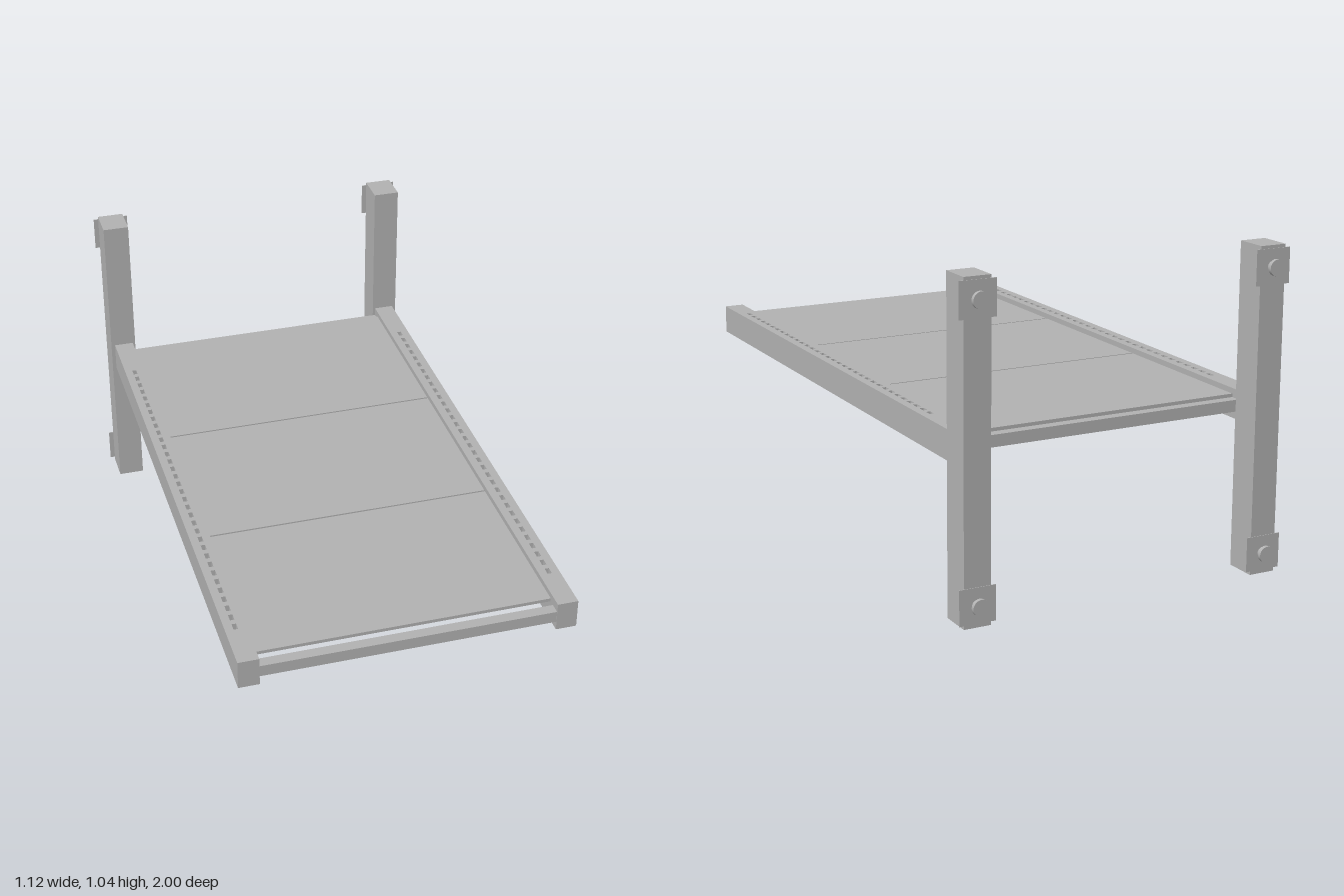
import * as THREE from 'three';

const grey = new THREE.MeshStandardMaterial({ color: 0xb2b2b2 });
grey.name = 'grey metal';

function add(parent, name, geometry) {
  const mesh = new THREE.Mesh(geometry, grey);
  mesh.name = name;
  parent.add(mesh);
  return mesh;
}

// Box given by its limits on each axis
function box(parent, name, x0, x1, y0, y1, z0, z1) {
  const mesh = add(parent, name, new THREE.BoxGeometry(x1 - x0, y1 - y0, z1 - z0));
  mesh.position.set((x0 + x1) / 2, (y0 + y1) / 2, (z0 + z1) / 2);
  return mesh;
}

// Anticlockwise rectangle on the plan, centred on (x, y)
function rectangle(x, y, w, h, Type) {
  return new Type([
    new THREE.Vector2(x - w / 2, y - h / 2),
    new THREE.Vector2(x + w / 2, y - h / 2),
    new THREE.Vector2(x + w / 2, y + h / 2),
    new THREE.Vector2(x - w / 2, y + h / 2),
  ]);
}

// Side rail pierced by a row of slots
function slottedRail() {
  const zBack = -0.868, zFront = 1, slots = 34;
  const shape = rectangle(0, -(zBack + zFront) / 2, 0.066, zFront - zBack, THREE.Shape);
  for (let i = 0; i < slots; i++) {
    const z = -0.662 + (i / (slots - 1)) * 1.497;
    shape.holes.push(rectangle(0, -z, 0.014, 0.026, THREE.Path));
  }
  const geometry = new THREE.ExtrudeGeometry(shape, { depth: 0.095, bevelEnabled: false });
  return geometry.rotateX(-Math.PI / 2);
}

// Post with two mounting plates and bolts on its back
function post(side) {
  const group = new THREE.Group();
  group.name = side > 0 ? 'leftPost' : 'rightPost';
  box(group, 'postBeam', -0.044, 0.044, 0, 1.043, -0.974, -0.867);
  for (const y of [0.068, 0.977]) {
    box(group, 'mountingPlate', -0.06, 0.06, y - 0.056, y + 0.056, -0.976, -0.973);
    const shank = add(group, 'boltShank', new THREE.CylinderGeometry(0.019, 0.019, 0.016, 24));
    shank.rotation.x = Math.PI / 2;
    shank.position.set(0, y, -0.983);
    const head = add(group, 'boltHead', new THREE.CylinderGeometry(0.026, 0.026, 0.012, 24));
    head.rotation.x = Math.PI / 2;
    head.position.set(0, y, -0.994);
  }
  group.position.x = side * 0.5;
  return group;
}

export function createModel() {
  const model = new THREE.Group();
  model.name = 'slidingShelfFrame';
  const inner = 0.467, railGeometry = slottedRail();

  for (const side of [-1, 1]) {
    model.add(post(side));
    const rail = add(model, side > 0 ? 'leftRail' : 'rightRail', railGeometry);
    rail.position.set(side * 0.498, 0.475, 0);
  }

  // Shelf panels, with cross bars under the seams
  const start = -0.835, length = 0.593;
  for (let i = 0; i < 3; i++) {
    const z = start + i * length;
    box(model, 'shelfPanel', -inner, inner, 0.541, 0.552, z + (i ? 0.003 : 0), z + length - (i < 2 ? 0.003 : 0));
    if (i) box(model, 'crossBar', -inner, inner, 0.503, 0.541, z - 0.0175, z + 0.0175);
  }

  // End bars
  box(model, 'backBar', -inner, inner, 0.503, 0.541, -0.868, -0.833);
  box(model, 'frontBar', -inner, inner, 0.503, 0.541, 0.963, 0.998);
  return model;
}
